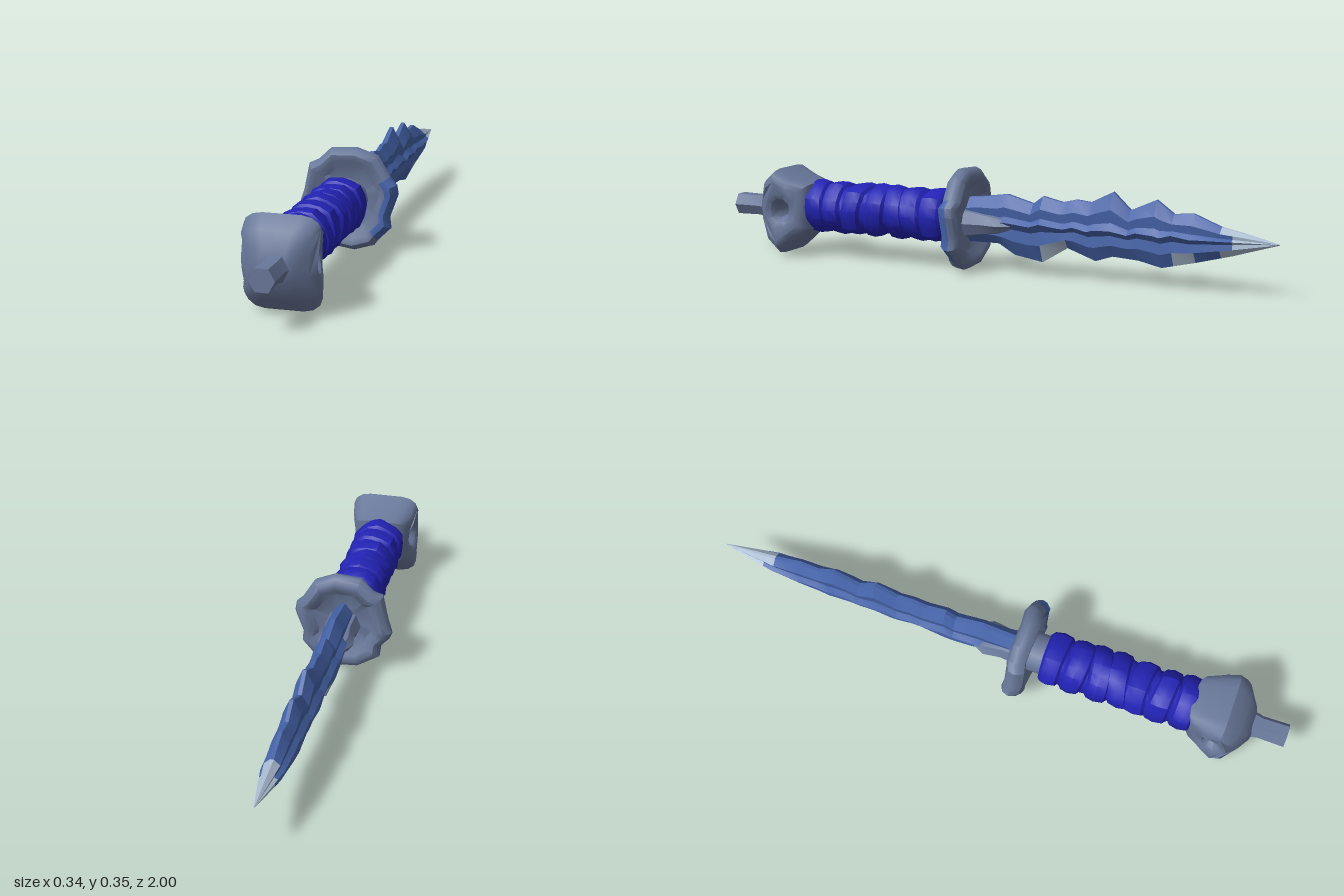
import * as THREE from 'three';
import { toCreasedNormals } from 'three/addons/utils/BufferGeometryUtils.js';

const mat = (name, color) => {
  const m = new THREE.MeshStandardMaterial({ color });
  m.name = name;
  return m;
};

// Piecewise-linear lookup in [[z, value], ...] with z descending
function lookup(table, z) {
  for (let i = 1; i < table.length; i++) {
    const [z0, v0] = table[i - 1], [z1, v1] = table[i];
    if (z >= z1) return v0 + (v1 - v0) * THREE.MathUtils.clamp((z0 - z) / (z0 - z1), 0, 1);
  }
  return table[table.length - 1][1];
}

// Skin closed rings (counter-clockwise seen from +z, front ring first) and cap both ends.
// pick(ring, side) chooses the material index of each strip cell.
function loft(name, rings, materials, crease, pick = () => 0) {
  const n = rings[0].length, pos = rings.flat(2);
  const lists = materials.map(() => []);
  for (let i = 0; i < rings.length - 1; i++) {
    for (let j = 0; j < n; j++) {
      const k = (j + 1) % n, a = i * n + j, b = i * n + k, d = a + n, c = b + n;
      lists[pick(i, j)].push(a, d, b, b, d, c);
    }
  }
  const last = (rings.length - 1) * n;
  for (let j = 1; j < n - 1; j++) {
    lists[0].push(0, j, j + 1);
    lists[pick(rings.length - 2, 0)].push(last, last + j + 1, last + j);
  }
  const geo = new THREE.BufferGeometry();
  geo.setAttribute('position', new THREE.Float32BufferAttribute(pos, 3));
  geo.setIndex(lists.flat());
  let start = 0;
  lists.forEach((list, m) => {
    geo.addGroup(start, list.length, m);
    start += list.length;
  });
  const mesh = new THREE.Mesh(toCreasedNormals(geo, crease), materials);
  mesh.name = name;
  return mesh;
}

const circle = (sides, fn) =>
  Array.from({ length: sides }, (_, j) => fn((j / sides) * Math.PI * 2, j));

export function createModel() {
  const model = new THREE.Group();
  model.name = 'dagger';
  const steel = mat('steel', 0x687799);
  const blue = mat('blade blue', 0x4563a8);
  const wrap = mat('grip wrap', 0x2222b4);
  const pale = mat('worn edge', 0xa9bbd0);

  // Jagged blade: upper edge, lower edge, half thickness and ridge height along z
  const top = [[0.08, 0.25], [0.03, 0.255], [-0.06, 0.268], [-0.155, 0.243], [-0.19, 0.27],
    [-0.26, 0.255], [-0.31, 0.267], [-0.36, 0.262], [-0.44, 0.302], [-0.5, 0.247], [-0.59, 0.287],
    [-0.65, 0.245], [-0.715, 0.252], [-0.81, 0.216], [-0.88, 0.203], [-1, 0.176]];
  const bottom = [[0.08, 0.1], [-0.03, 0.1], [-0.09, 0.066], [-0.19, 0.05], [-0.28, 0.105],
    [-0.38, 0.07], [-0.44, 0.09], [-0.53, 0.085], [-0.61, 0.068], [-0.725, 0.095],
    [-0.85, 0.128], [-1, 0.174]];
  const thick = [[0.08, 0.048], [-0.1, 0.046], [-0.8, 0.038], [-0.9, 0.02], [-1, 0.001]];
  const drift = [[0.08, 0], [-0.4, 0.002], [-1, 0.015]];
  const zs = [...new Set([...top, ...bottom].map((p) => p[0]))].sort((a, b) => b - a);
  const bladeRings = zs.map((z, i) => {
    const t = lookup(top, z), b = lookup(bottom, z), w = lookup(thick, z), x = lookup(drift, z);
    const c = 0.175 + (z > -0.8 ? 0.006 * Math.sin(i * 2.3) : 0);
    const up = t - c, dn = b - c;
    const half = (s, h) => [[0.62 * s, 0.2 * h], [0.7 * s, 0.55 * h], [0.15 * s, h]];
    const section = [
      [1, 0], ...half(1, up), ...half(-1, up).reverse(),
      [-1, 0], ...half(-1, dn), ...half(1, dn).reverse(),
    ];
    return section.map(([sx, dy]) => [x + sx * w, c + dy, z]);
  });
  const worn = (i, j) => {
    const z = (zs[i] + zs[i + 1]) / 2;
    const lower = j >= 9 && j <= 11, upper = j >= 2 && j <= 4;
    if (z < -0.84) return 1;
    if (z < -0.8 && (lower || upper)) return 1;
    if (lower && ((z < -0.19 && z > -0.28) || (z < -0.68 && z > -0.73))) return 1;
    return 0;
  };
  model.add(loft('blade', bladeRings, [blue, pale], 0.35, worn));

  // Steel langets clasping the base of the blade
  const langet = [[0.09, 0.062, 0.06], [0.02, 0.054, 0.045], [-0.04, 0.062, 0.035], [-0.1, 0.03, 0.012]];
  model.add(loft('langets', langet.map(([z, w, h]) =>
    circle(8, (a) => [w * Math.cos(a), 0.165 + h * Math.sin(a), z])), [steel], 0.6));

  // Dished guard with a lumpy outline and a thick rim
  const outline = [[0.168, 0.2], [0.164, 0.232], [0.14, 0.256], [0.098, 0.325], [0.03, 0.35],
    [-0.06, 0.344], [-0.105, 0.301], [-0.136, 0.287], [-0.155, 0.195], [-0.17, 0.155],
    [-0.16, 0.128], [-0.131, 0.095], [-0.127, 0.055], [-0.055, 0.01], [0.02, 0.001],
    [0.085, 0.02], [0.1, 0.04], [0.145, 0.085], [0.14, 0.122]];
  const rim = [[0.3, 0.105], [0.62, 0.105], [0.76, 0.123], [0.88, 0.124], [0.97, 0.108],
    [1, 0.09], [0.95, 0.07], [0.84, 0.06], [0.72, 0.064], [0.6, 0.082], [0.3, 0.084]];
  const guardRings = rim.map(([s, z]) =>
    outline.map(([x, y], j) => [x * s, 0.176 + (y - 0.176) * s, z + 0.005 * s * Math.sin(j * 1.9)]));
  model.add(loft('guard', guardRings, [steel, blue], 0.7,
    (i, j) => ((j < 2 || j >= 16) && i >= 2 && i <= 4 ? 1 : 0)));

  // Collar between guard and grip
  const collar = new THREE.Mesh(new THREE.CylinderGeometry(0.068, 0.068, 0.11, 12), steel);
  collar.name = 'collar';
  collar.rotation.x = Math.PI / 2;
  collar.position.set(0, 0.178, 0.14);
  model.add(collar);

  // Grip wound with overlapping, slightly tilted bands
  const gripRings = [], bands = 7, z0 = 0.69, len = 0.53;
  const profile = [[0, 0.078], [0.1, 0.088], [0.5, 0.093], [0.85, 0.087], [0.97, 0.077]];
  for (let b = 0; b < bands; b++) {
    for (const [t, r] of profile) {
      const u = (b + t) / bands;
      const tilt = 0.016 * Math.sin(Math.PI * u);
      gripRings.push(circle(16, (a, j) => {
        const rr = r + 0.003 * Math.sin(j * 2.1 + b * 1.7);
        return [rr * Math.cos(a) - 0.002, 0.178 + rr * Math.sin(a),
          z0 - len * u + tilt * Math.sin(a + b * 1.3)];
      }));
    }
  }
  model.add(loft('grip', gripRings, [wrap], 0.6));

  // Pommel: side profile pierced by an eye, narrowed towards both ends
  const side = [[0.675, 0.1], [0.72, 0.062], [0.785, 0.01], [0.835, 0.055], [0.88, 0.125],
    [0.89, 0.165], [0.88, 0.215], [0.85, 0.27], [0.8, 0.308], [0.74, 0.28], [0.675, 0.26]];
  const shape = new THREE.Shape(side.map(([z, y]) => new THREE.Vector2(z, y)));
  const eye = new THREE.Path();
  eye.absellipse(0.772, 0.167, 0.018, 0.024, 0, Math.PI * 2, true);
  shape.holes.push(eye);
  const pommelGeo = new THREE.ExtrudeGeometry(shape, {
    depth: 0.12, bevelThickness: 0.06, bevelSize: 0.035, bevelOffset: -0.035,
    bevelSegments: 3, curveSegments: 5,
  });
  pommelGeo.translate(0, 0, -0.06).rotateY(-Math.PI / 2);
  const girth = [[0.9, 0.5], [0.87, 0.62], [0.83, 0.98], [0.77, 1], [0.72, 0.82], [0.67, 0.72]];
  const p = pommelGeo.attributes.position;
  for (let i = 0; i < p.count; i++) p.setX(i, p.getX(i) * lookup(girth, p.getZ(i)));
  const pommel = new THREE.Mesh(toCreasedNormals(pommelGeo, 0.7), steel);
  pommel.name = 'pommel';
  model.add(pommel);

  // Six-sided stub at the end of the pommel
  const stub = [[1, 0.041], [0.91, 0.039], [0.87, 0.048], [0.84, 0.05]];
  model.add(loft('pommelStub', stub.map(([z, r]) =>
    circle(6, (a) => [0.005 + r * Math.cos(a), 0.165 + r * Math.sin(a), z])), [steel], 0.3));

  return model;
}
